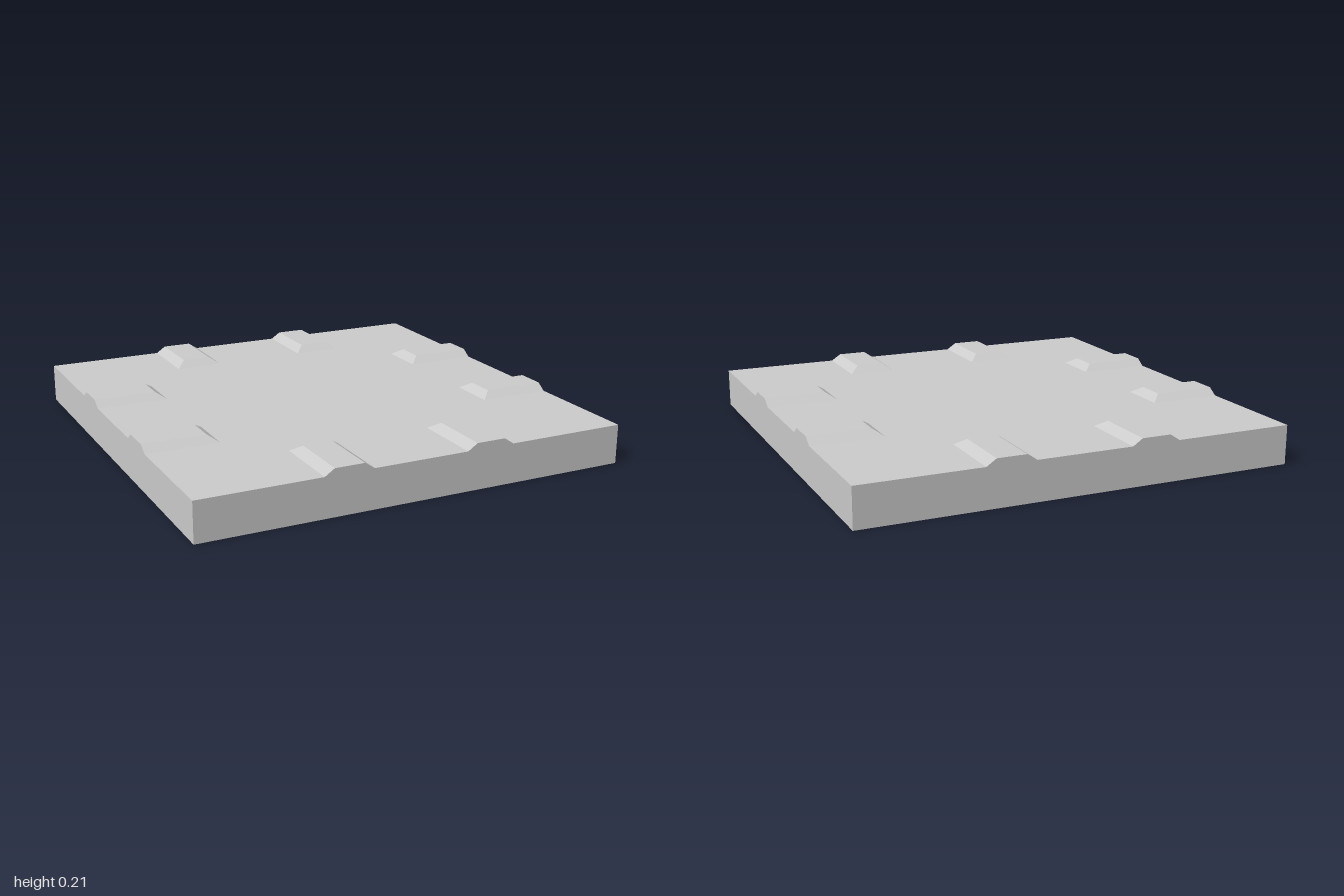
import * as THREE from 'three';

const SLAB_TOP = 0.18, RIDGE_TOP = 0.21;
const BEVEL = 0.045;

// Short ridge running in from the +z edge, bevelled on its sides and inner end
function ridgeGeometry() {
  const width = 0.225, length = 0.335, height = RIDGE_TOP - SLAB_TOP;
  const box = new THREE.BoxGeometry(width, height, length);
  const p = box.attributes.position;
  for (let i = 0; i < p.count; i++) {
    if (p.getY(i) < 0) continue;
    p.setX(i, p.getX(i) - Math.sign(p.getX(i)) * BEVEL);
    if (p.getZ(i) < 0) p.setZ(i, p.getZ(i) + BEVEL);
  }
  const geometry = box.toNonIndexed();
  geometry.computeVertexNormals();
  geometry.translate(0, SLAB_TOP + height / 2, 1 - length / 2);
  return geometry;
}

export function createModel() {
  const model = new THREE.Group();
  model.name = 'floorTile';
  const material = new THREE.MeshStandardMaterial({ color: 0xcccccc, flatShading: true });

  // Square base slab
  const slab = new THREE.Mesh(new THREE.BoxGeometry(2, SLAB_TOP, 2), material);
  slab.name = 'slab';
  slab.position.y = SLAB_TOP / 2;
  model.add(slab);

  // A pair of ridges on each of the four edges
  const geometry = ridgeGeometry();
  ['front', 'left', 'back', 'right'].forEach((side, i) => {
    const pair = new THREE.Group();
    pair.name = side + 'Ridges';
    pair.rotation.y = i * Math.PI / 2;
    for (const s of [-1, 1]) {
      const ridge = new THREE.Mesh(geometry, material);
      ridge.name = 'ridge';
      ridge.position.x = s * 0.333;
      pair.add(ridge);
    }
    model.add(pair);
  });
  return model;
}
